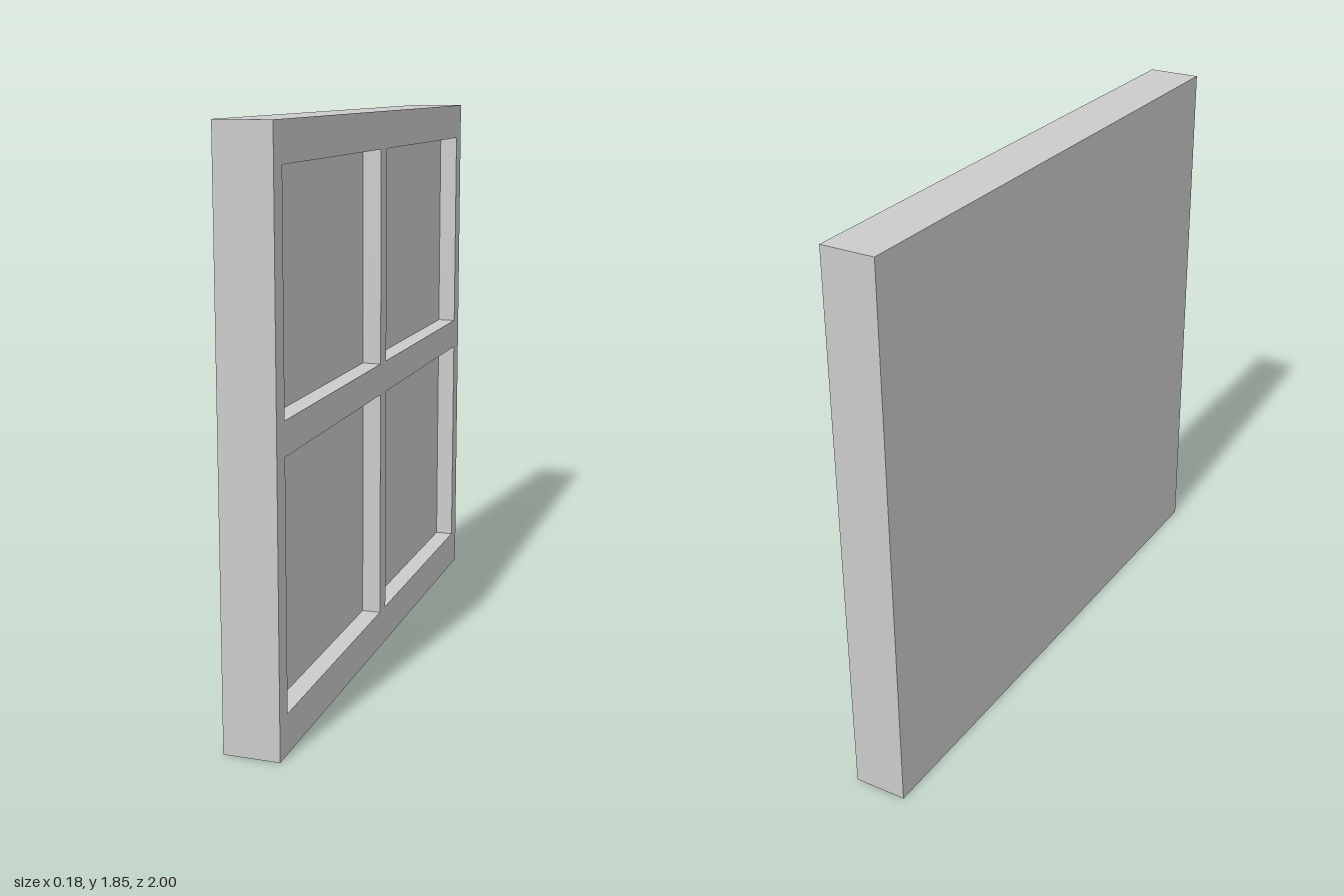
import * as THREE from 'three';

const HEIGHT = 1.85, LENGTH = 2, THICK = 0.18, RECESS = 0.063;

// Add the corners of a rectangle to a shape or hole path
function rect(path, x0, y0, x1, y1) {
  path.moveTo(x0, y0);
  path.lineTo(x1, y0);
  path.lineTo(x1, y1);
  path.lineTo(x0, y1);
  path.closePath();
  return path;
}

export function createModel() {
  const group = new THREE.Group();
  group.name = 'panelledSlab';
  const material = new THREE.MeshStandardMaterial({ color: 0xcccccc, flatShading: true });

  // Solid backing, whose face forms the floor of the recesses
  const backing = new THREE.Mesh(new THREE.BoxGeometry(THICK - RECESS, HEIGHT, LENGTH), material);
  backing.name = 'backing';
  backing.position.set(-RECESS / 2, HEIGHT / 2, 0);
  group.add(backing);

  // Face frame on +x with four openings (shape x runs along -z)
  const outline = rect(new THREE.Shape(), -LENGTH / 2, 0, LENGTH / 2, HEIGHT);
  for (const [x0, x1] of [[-0.936, -0.035], [0.028, 0.938]]) {
    for (const [y0, y1] of [[0.127, 0.904], [1.01, 1.727]]) {
      outline.holes.push(rect(new THREE.Path(), x0, y0, x1, y1));
    }
  }
  const frameGeometry = new THREE.ExtrudeGeometry(outline, { depth: RECESS, bevelEnabled: false });
  frameGeometry.rotateY(Math.PI / 2);
  const frame = new THREE.Mesh(frameGeometry, material);
  frame.name = 'faceFrame';
  frame.position.x = THICK / 2 - RECESS;
  group.add(frame);

  return group;
}
